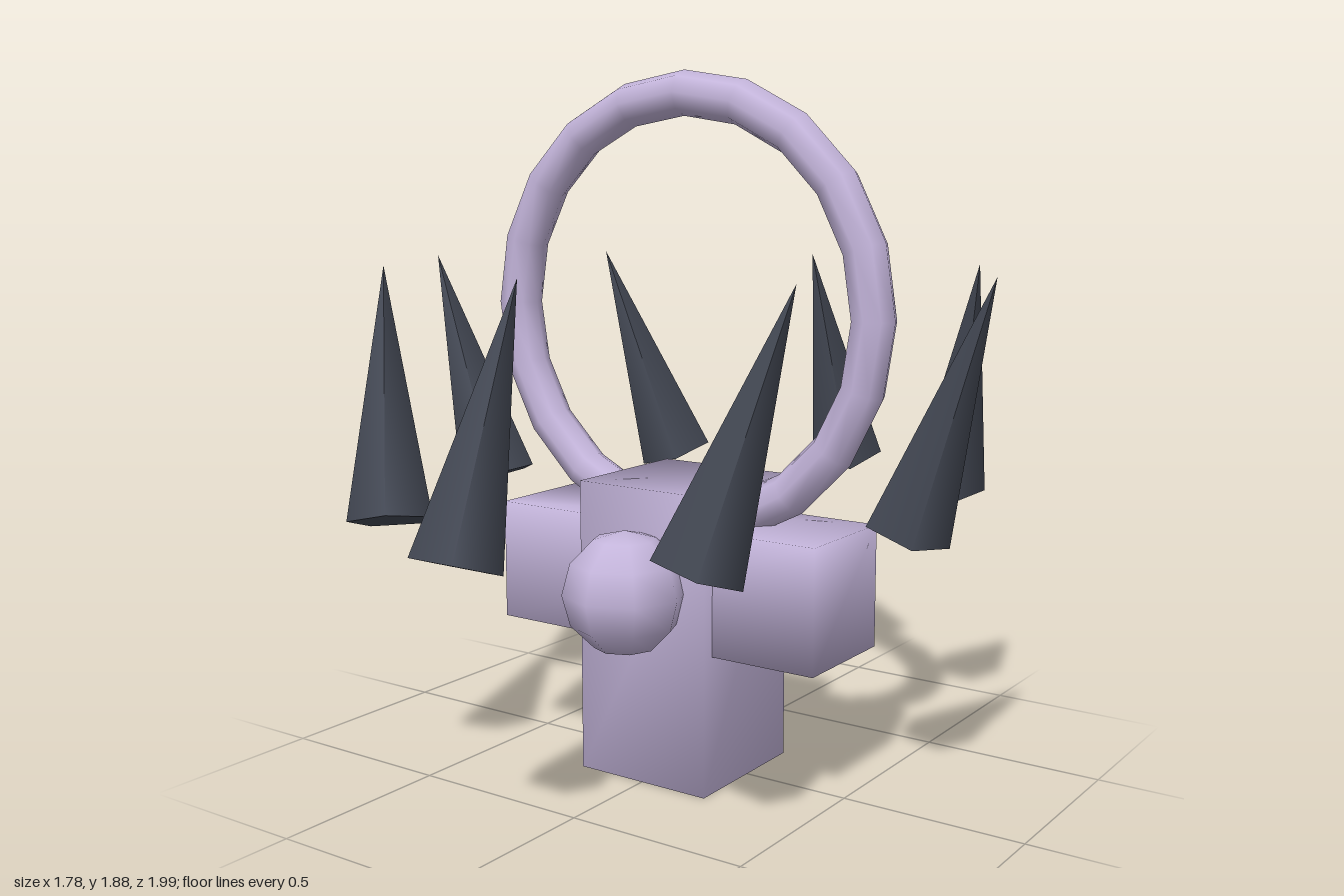
import * as THREE from 'three';
import { mergeVertices } from 'three/addons/utils/BufferGeometryUtils.js';

// Box whose corners share normals, for the soft shading of the body
function softBox(w, h, d) {
  const g = new THREE.BoxGeometry(w, h, d);
  g.deleteAttribute('normal');
  g.deleteAttribute('uv');
  g.clearGroups();
  const merged = mergeVertices(g);
  merged.computeVertexNormals();
  return merged;
}

export function createModel() {
  const group = new THREE.Group();
  const lilac = new THREE.MeshStandardMaterial({ color: 0xc4b5db });
  lilac.name = 'lilac';
  const slate = new THREE.MeshStandardMaterial({ color: 0x454a56 });
  slate.name = 'slate';

  const add = (name, geometry, material, x, y, z) => {
    const mesh = new THREE.Mesh(geometry, material);
    mesh.name = name;
    mesh.position.set(x, y, z);
    group.add(mesh);
    return mesh;
  };

  // Body column and the arm block crossing it
  add('body', softBox(0.4, 0.8, 0.4), lilac, 0, 0.4, 0.01);
  add('arms', softBox(1, 0.33, 0.325), lilac, 0, 0.537, 0.01);

  // Ball on the chest
  add('chestBall', new THREE.SphereGeometry(0.165, 8, 6), lilac, 0, 0.538, 0.28);

  // Upright ring above the body
  add('halo', new THREE.TorusGeometry(0.567, 0.059, 8, 20), lilac, 0, 1.25, 0.01);

  // Eight floating five-sided spikes, leaning out sideways and in front to back
  const spike = new THREE.ConeGeometry(0.114, 0.674, 5).rotateY(Math.PI);
  const lean = 0.335;
  for (let i = 0; i < 8; i++) {
    const a = (i * Math.PI) / 4;
    const mesh = add('spike' + (i + 1), spike, slate,
      0.777 * Math.sin(a), 1.053, 0.01 + 0.785 * Math.cos(a));
    mesh.rotation.set(-lean * Math.cos(a), 0, -lean * Math.sin(a));
  }
  return group;
}
